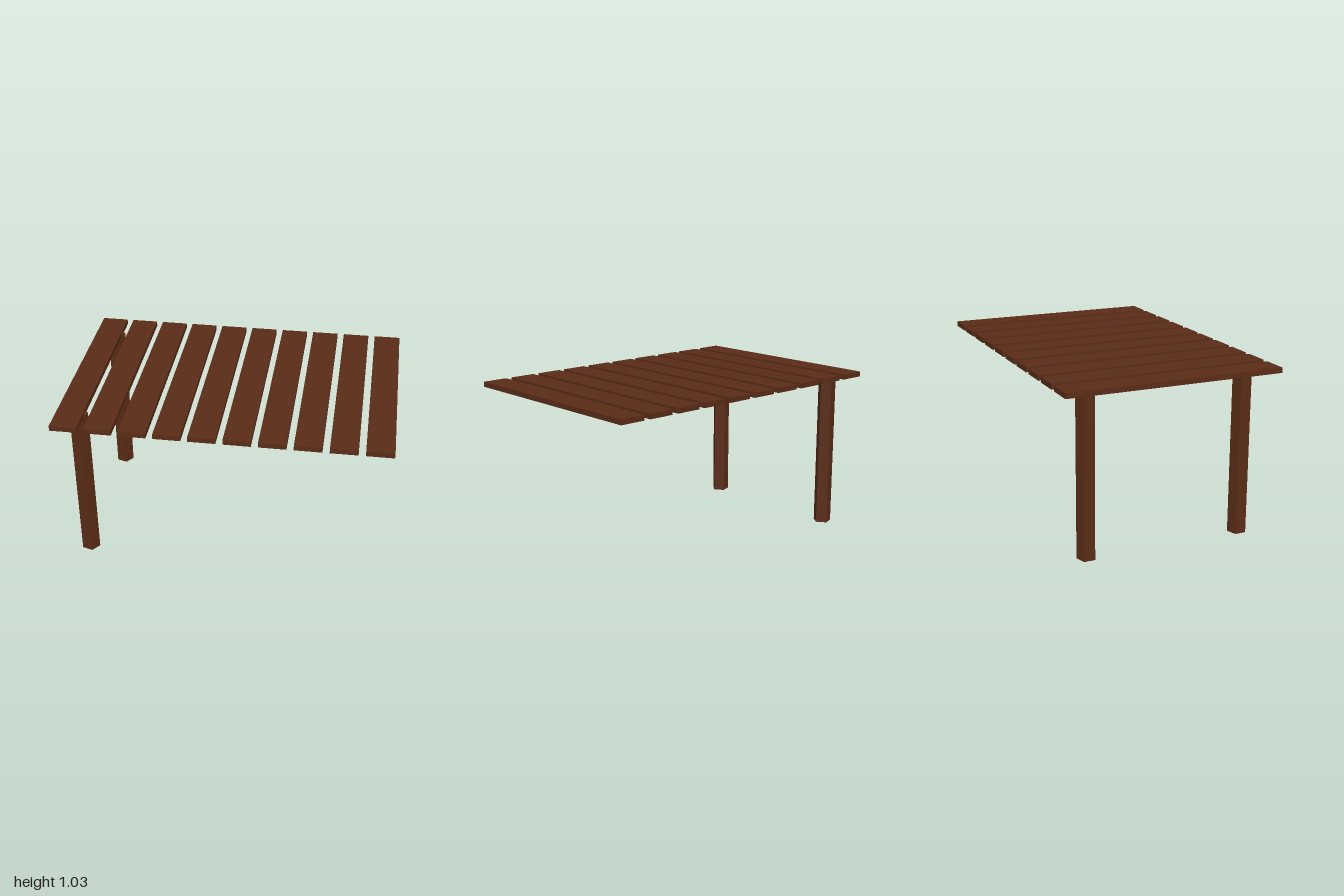
import * as THREE from 'three';

export function createModel() {
  const group = new THREE.Group();
  const wood = new THREE.MeshStandardMaterial({ color: 0x5a2c16, flatShading: true });

  // Row of ten planks running front to back
  const count = 10, width = 0.163, thickness = 0.032, depth = 1.35;
  const pitch = (2 - width) / (count - 1);
  const plankGeometry = new THREE.BoxGeometry(width, thickness, depth);
  for (let i = 0; i < count; i++) {
    const plank = new THREE.Mesh(plankGeometry, wood);
    plank.name = `plank${i + 1}`;
    plank.position.set(-1 + width / 2 + i * pitch, 1 + thickness / 2, 0);
    group.add(plank);
  }

  // Two five-sided legs at one end, one corner pointing inwards (+x)
  const legHeight = 1.018;
  const legGeometry = new THREE.CylinderGeometry(0.058, 0.058, legHeight, 5, 1, false, Math.PI / 2);
  for (const [name, z] of [['frontLeg', 0.485], ['backLeg', -0.505]]) {
    const leg = new THREE.Mesh(legGeometry, wood);
    leg.name = name;
    leg.position.set(-0.873, legHeight / 2, z);
    group.add(leg);
  }

  return group;
}
